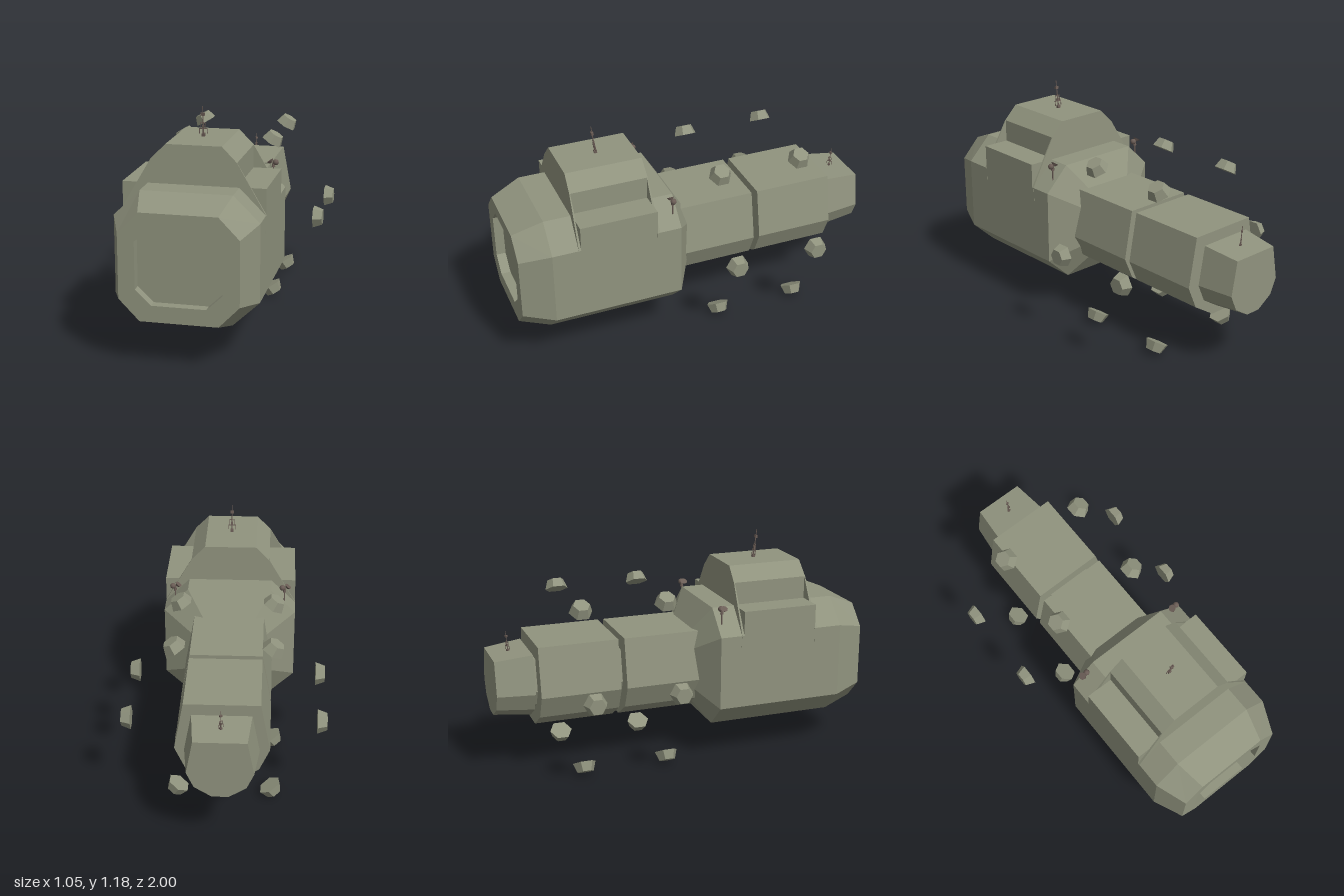
import * as THREE from 'three';

const hullMat = new THREE.MeshStandardMaterial({ color: 0x90937e });
hullMat.name = 'hull grey green';
const fittingMat = new THREE.MeshStandardMaterial({ color: 0x6b5d56 });
fittingMat.name = 'fitting brown';

// Chamfered rectangle, counter-clockwise from +z
const octagon = (w, bottom, top, fx, sideLow, sideHigh) => [
  [w, sideLow], [w, sideHigh], [fx, top], [-fx, top],
  [-w, sideHigh], [-w, sideLow], [-fx, bottom], [fx, bottom],
];

// Flat-faced solid through rings of equal point count, ordered from back to front
function loft(rings) {
  const pos = [];
  const n = rings[0].pts.length;
  const at = (i, j) => [...rings[i].pts[j % n], rings[i].z];
  const tri = (...p) => p.forEach((v) => pos.push(...v));
  for (let i = 0; i < rings.length - 1; i++) {
    for (let j = 0; j < n; j++) {
      tri(at(i, j), at(i, j + 1), at(i + 1, j + 1));
      tri(at(i, j), at(i + 1, j + 1), at(i + 1, j));
    }
  }
  const last = rings.length - 1;
  for (let j = 1; j < n - 1; j++) {
    tri(at(0, 0), at(0, j + 1), at(0, j));
    tri(at(last, 0), at(last, j), at(last, j + 1));
  }
  const g = new THREE.BufferGeometry();
  g.setAttribute('position', new THREE.Float32BufferAttribute(pos, 3));
  g.computeVertexNormals();
  return g;
}

function add(parent, name, geometry, material, x = 0, y = 0, z = 0) {
  const m = new THREE.Mesh(geometry, material);
  m.name = name;
  m.position.set(x, y, z);
  parent.add(m);
  return m;
}

const mirrored = (half) => new THREE.Shape(
  [...half, ...half.map(([x, y]) => [-x, y]).reverse()].map(([x, y]) => new THREE.Vector2(x, y)));

// Cross-section shared by the neck, collars and tail
const NECK = [[0.238, -0.03], [0.19, 0.23], [-0.19, 0.23], [-0.238, -0.03],
  [-0.185, -0.15], [-0.06, -0.23], [0.06, -0.23], [0.185, -0.15]];
const neckRing = (s, z) => ({ z, pts: NECK.map(([x, y]) => [x * s, 0.48 + y * s]) });

// Thin mast with a forked crossbar
function antenna(name, height) {
  const g = new THREE.Group();
  g.name = name;
  const s = height / 0.155;
  const box = (n, w, h, d, x, y) => add(g, n, new THREE.BoxGeometry(w * s, h * s, d * s), fittingMat, x * s, y * s);
  add(g, 'mast', new THREE.CylinderGeometry(0.002 * s, 0.004 * s, height, 6), fittingMat, 0, height / 2);
  box('mastFoot', 0.016, 0.016, 0.016, 0, 0.008);
  box('mastJoint', 0.01, 0.014, 0.01, 0, 0.05);
  box('mastHead', 0.02, 0.014, 0.012, 0, 0.115);
  box('lowerBar', 0.042, 0.004, 0.005, 0, 0.04);
  box('upperBar', 0.028, 0.004, 0.005, 0, 0.07);
  for (const side of [-1, 1]) {
    box('lowerProng', 0.003, 0.025, 0.003, side * 0.02, 0.027);
    box('upperProng', 0.003, 0.028, 0.003, side * 0.013, 0.056);
  }
  return g;
}

// Small dish on a stub
function sensor() {
  const g = new THREE.Group();
  g.name = 'sensor';
  add(g, 'sensorStub', new THREE.CylinderGeometry(0.006, 0.01, 0.025, 6), fittingMat, 0, 0, 0);
  add(g, 'sensorBall', new THREE.IcosahedronGeometry(0.016, 1), fittingMat, 0.012, 0.012, 0);
  const dish = add(g, 'sensorDish', new THREE.CylinderGeometry(0.02, 0.008, 0.014, 8), fittingMat, -0.015, 0.015, 0.005);
  dish.rotation.z = 0.6;
  return g;
}

export function createModel() {
  const model = new THREE.Group();
  model.name = 'spacecraft';

  // Main hull: tapered back, straight body, bevelled nose with a recessed panel
  const body = octagon(0.36, 0.19, 0.84, 0.228, 0.315, 0.71);
  const back = body.map(([x, y]) => [x * 0.52, 0.505 + (y - 0.515) * 0.52]);
  const nose = octagon(0.295, 0.237, 0.776, 0.193, 0.343, 0.67);
  const panel = octagon(0.213, 0.32, 0.71, 0.135, 0.395, 0.632);
  add(model, 'hull', loft([
    { pts: back, z: 0.045 }, { pts: body, z: 0.15 }, { pts: body, z: 0.84 },
    { pts: nose, z: 1 }, { pts: panel, z: 1 }, { pts: panel, z: 0.95 },
  ]), hullMat);

  // Raised tower with square shoulders
  const towerShape = mirrored([[0.36, 0.7], [0.36, 0.84], [0.215, 0.84], [0.215, 0.96], [0.14, 1.036]]);
  add(model, 'tower', new THREE.ExtrudeGeometry(towerShape, { depth: 0.41, bevelEnabled: false }), hullMat, 0, 0, 0.28);

  // Wedge plates at the tower's front and back, thicker toward the bottom
  const plateShape = mirrored([[0.361, 0.62], [0.361, 0.71], [0.215, 0.96], [0.14, 1.036]]);
  const plateGeo = new THREE.ExtrudeGeometry(plateShape, { depth: 1, bevelEnabled: false });
  const p = plateGeo.attributes.position;
  for (let i = 0; i < p.count; i++) {
    if (p.getZ(i) > 0.5) p.setZ(i, 0.002 + 0.016 * (1.036 - p.getY(i)) / 0.416);
  }
  plateGeo.computeVertexNormals();
  add(model, 'towerFrontPlate', plateGeo, hullMat, 0, 0, 0.688);
  add(model, 'towerBackPlate', plateGeo, hullMat, 0, 0, 0.282).rotation.y = Math.PI;

  // Neck sections, joining collar and tapered tail
  const sections = [
    ['frontNeck', 1, -0.325, 1, 0.12], ['rearNeck', 1, -0.785, 1, -0.358],
    ['collar', 0.65, -0.82, 0.65, -0.3], ['tail', 0.69, -1, 0.785, -0.802],
  ];
  for (const [name, s0, z0, s1, z1] of sections) {
    add(model, name, loft([neckRing(s0, z0), neckRing(s1, z1)]), hullMat);
  }

  // Two rings of six free-standing hexagonal pods
  const podGeo = new THREE.CylinderGeometry(0.044, 0.062, 0.05, 6).toNonIndexed();
  podGeo.computeVertexNormals();
  for (const z of [-0.115, -0.57]) {
    for (let i = 0; i < 6; i++) {
      const a = i * Math.PI / 3;
      const pod = add(model, 'pod', podGeo, hullMat, 0.5 * Math.cos(a), 0.48 + 0.5 * Math.sin(a), z);
      pod.rotation.z = a - Math.PI / 2;
    }
  }

  // Antennas on the tower and tail
  const towerAntenna = antenna('towerAntenna', 0.155);
  towerAntenna.position.set(0, 1.036, 0.48);
  towerAntenna.rotation.x = 0.12;
  const tailAntenna = antenna('tailAntenna', 0.11);
  tailAntenna.position.set(0, 0.648, -0.9);
  tailAntenna.rotation.set(-0.08, 0.6, 0);
  model.add(towerAntenna, tailAntenna);

  // Sensors on the hull's rear shoulders, standing on short struts
  for (const side of [-1, 1]) {
    const s = sensor();
    s.position.set(side * 0.3, 0.835, 0.175);
    model.add(s);
    add(model, 'sensorStrut', new THREE.CylinderGeometry(0.004, 0.004, 0.08, 6), fittingMat, side * 0.3, 0.795, 0.175);
  }
  return model;
}
